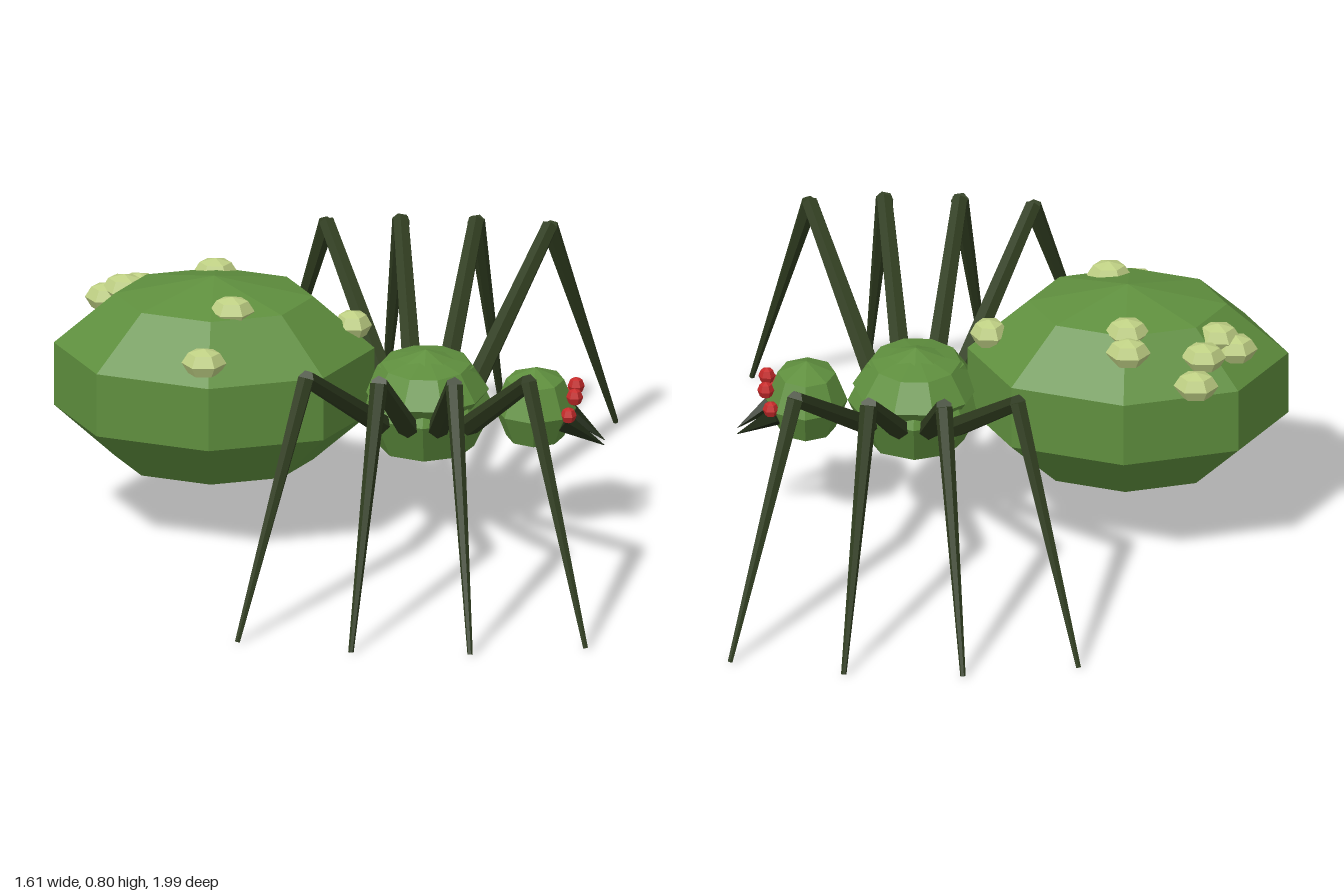
import * as THREE from 'three';

const mat = (name, color) => new THREE.MeshStandardMaterial({ name, color, flatShading: true });

export function createModel() {
  const skin = mat('moss green', 0x5f8f3e);
  const legGreen = mat('dark green', 0x303d20);
  const wartGreen = mat('pale green', 0xbfd084);
  const eyeRed = mat('red', 0xc62a2a);
  const fangDark = mat('blackish green', 0x1f2a16);

  const model = new THREE.Group();
  model.name = 'spider';

  // Faceted ellipsoid
  function blob(name, material, pos, radii, around, rings) {
    const m = new THREE.Mesh(new THREE.SphereGeometry(1, around, rings), material);
    m.geometry.scale(...radii);
    m.position.set(...pos);
    m.name = name;
    model.add(m);
    return m;
  }

  // Tapered rod from a to b
  function rod(name, material, a, b, ra, rb, sides, parent = model) {
    const p = new THREE.Vector3(...a), q = new THREE.Vector3(...b);
    const dir = q.clone().sub(p);
    const m = new THREE.Mesh(new THREE.CylinderGeometry(rb, ra, dir.length(), sides), material);
    m.position.copy(p).add(q).multiplyScalar(0.5);
    m.quaternion.setFromUnitVectors(new THREE.Vector3(0, 1, 0), dir.normalize());
    m.name = name;
    parent.add(m);
  }

  // Body, facing +x
  blob('abdomen', skin, [-0.34, 0.485, 0], [0.494, 0.315, 0.378], 8, 5);
  blob('thorax', skin, [0.28, 0.405, 0], [0.2, 0.175, 0.195], 8, 4);
  blob('carapace', skin, [0.28, 0.46, 0], [0.185, 0.11, 0.21], 10, 4);
  blob('head', skin, [0.6, 0.405, 0], [0.12, 0.125, 0.138], 8, 4);

  // Warts resting on the abdomen's upper surface
  const warts = [
    [-0.55, -0.29], [-0.57, -0.22], [-0.66, -0.15], [-0.61, -0.14], [-0.35, -0.25],
    [-0.345, -0.19], [-0.28, 0.155], [-0.355, 0.31], [0.065, -0.025],
  ];
  for (const [x, z] of warts) {
    const u = (x + 0.34) / 0.494, v = z / 0.378;
    const y = 0.485 + 0.315 * Math.sqrt(Math.max(0, 1 - u * u - v * v)) - 0.02;
    blob('wart', wartGreen, [x, y, z], [x > 0 ? 0.056 : 0.066, 0.045, 0.056], 6, 4);
  }

  // Eyes and fangs, mirrored across the body
  for (const s of [-1, 1]) {
    blob('upperEye', eyeRed, [0.718, 0.457, s * 0.047], [0.025, 0.027, 0.024], 6, 4);
    blob('lowerEye', eyeRed, [0.702, 0.415, s * 0.088], [0.024, 0.025, 0.024], 6, 4);
    rod('fang', fangDark, [0.68, 0.385, s * 0.06], [0.803, 0.298, s * 0.02], 0.032, 0.001, 5);
  }

  // Four legs on each side: hip, knee and foot as [x, y, z]
  const legs = [
    [[0.155, 0.41, 0.17], [-0.04, 0.728, 0.635], [-0.228, 0.008, 0.922]],
    [[0.235, 0.4, 0.17], [0.175, 0.728, 0.67], [0.108, 0.008, 0.99]],
    [[0.325, 0.4, 0.17], [0.395, 0.728, 0.67], [0.457, 0.008, 0.99]],
    [[0.415, 0.41, 0.17], [0.612, 0.728, 0.635], [0.792, 0.008, 0.922]],
  ];
  for (const s of [-1, 1]) {
    for (const points of legs) {
      const [hip, knee, foot] = points.map(([x, y, z]) => [x, y, s * z]);
      const leg = new THREE.Group();
      leg.name = 'leg';
      rod('upperLeg', legGreen, hip, knee, 0.032, 0.025, 6, leg);
      rod('lowerLeg', legGreen, knee, foot, 0.026, 0.008, 6, leg);
      model.add(leg);
    }
  }
  return model;
}
